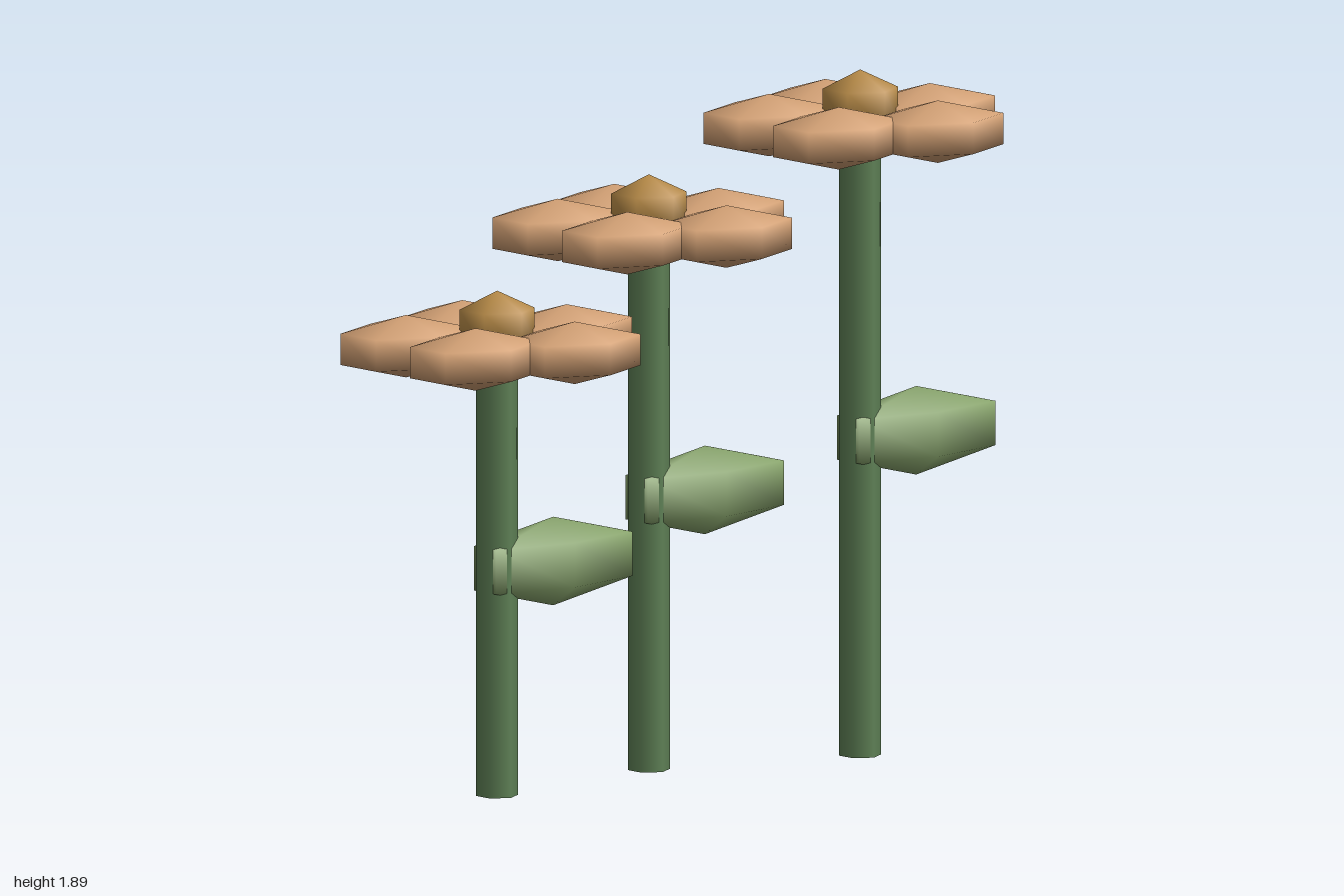
import * as THREE from 'three';

const petalMat = new THREE.MeshStandardMaterial({ color: 0xd2a074 });
const centreMat = new THREE.MeshStandardMaterial({ color: 0xb98c48 });
const stemMat = new THREE.MeshStandardMaterial({ color: 0x5f8156 });
const leafMat = new THREE.MeshStandardMaterial({ color: 0x88a46c });

// six-sided, three-ring ball with corners on the z axis, stretched for every soft part
const ball = new THREE.SphereGeometry(1, 6, 3).rotateY(Math.PI / 6);

function blob(name, material, scale, position) {
  const mesh = new THREE.Mesh(ball, material);
  mesh.name = name;
  mesh.scale.set(...scale);
  mesh.position.set(...position);
  return mesh;
}

function createFlower(height) {
  const flower = new THREE.Group();
  flower.name = 'flower';

  // hexagonal stem
  const stem = new THREE.Mesh(new THREE.CylinderGeometry(0.058, 0.058, height, 6), stemMat);
  stem.name = 'stem';
  stem.position.y = height / 2;
  flower.add(stem);

  // single leaf halfway up, pointing to +x
  flower.add(blob('leaf', leafMat, [0.324, 0.122, 0.107], [0.2, height / 2, 0]));

  // ring of five petals, all stretched along x
  for (let i = 0; i < 5; i++) {
    const a = (i / 5) * Math.PI * 2;
    flower.add(blob('petal', petalMat, [0.227, 0.086, 0.172],
      [Math.cos(a) * 0.248, height - 0.008, Math.sin(a) * 0.248]));
  }

  // flower centre
  flower.add(blob('flowerCentre', centreMat, [0.12, 0.1, 0.12], [0, height + 0.042, 0]));
  return flower;
}

export function createModel() {
  const model = new THREE.Group();
  model.name = 'flowers';
  // x, z and stem height of each flower
  const spots = [[-0.632, -0.032, 1.248], [-0.038, -0.094, 1.497], [0.556, 0.094, 1.746]];
  for (const [x, z, height] of spots) {
    const flower = createFlower(height);
    flower.position.set(x, 0, z);
    model.add(flower);
  }
  return model;
}
